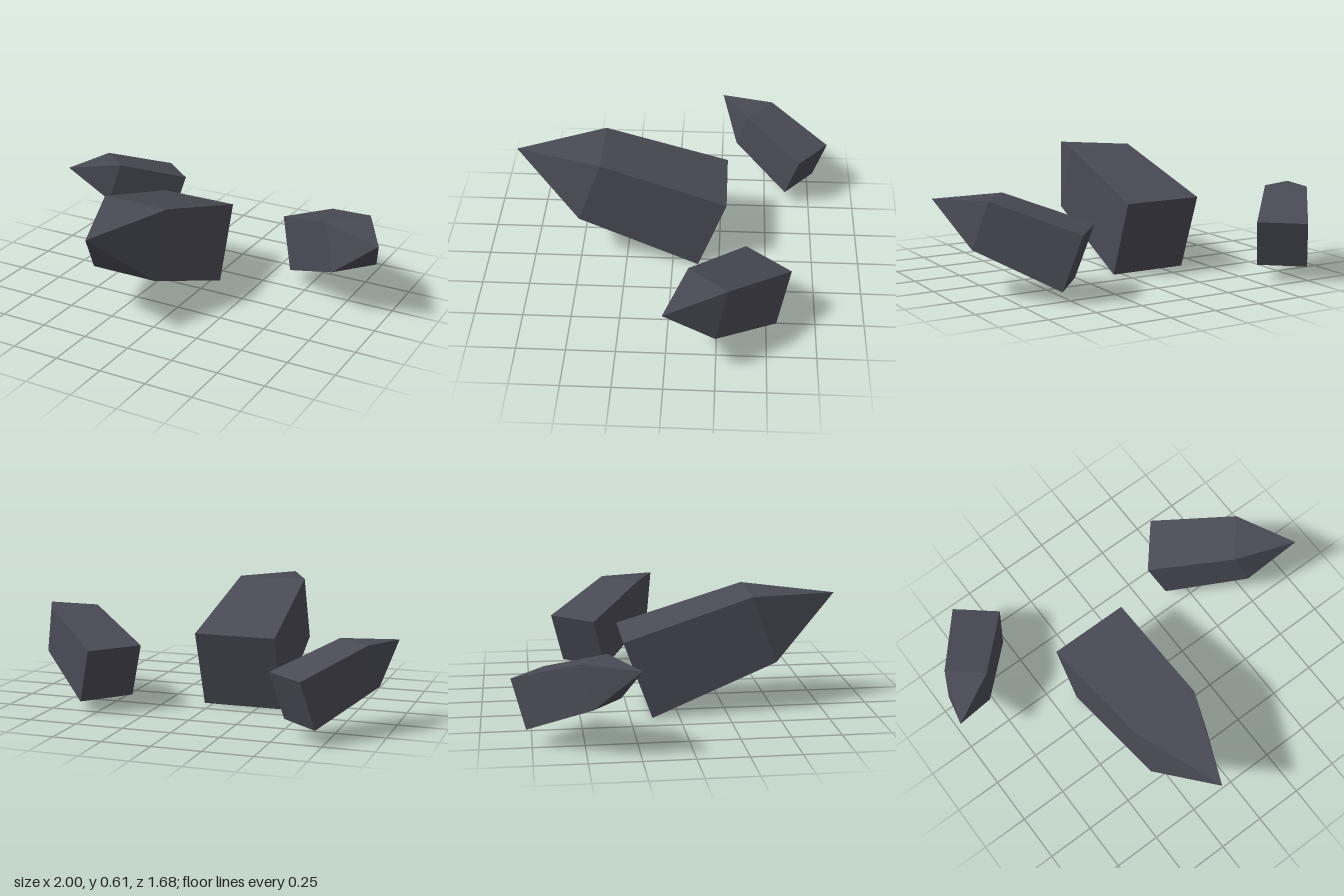
import * as THREE from 'three';

// Square crystal: slightly tapering shaft with a pyramid tip, pointing along +z
function crystalGeometry() {
  const profile = [[0, 0], [0.299, 0], [0.258, 0.69], [0, 1.112]]
    .map(([r, h]) => new THREE.Vector2(r, h));
  const geometry = new THREE.LatheGeometry(profile, 4, Math.PI / 4);
  geometry.rotateX(Math.PI / 2);
  return geometry;
}

export function createModel() {
  const group = new THREE.Group();
  group.name = 'crystalShards';

  const stone = new THREE.MeshStandardMaterial({ color: 0x4a4a55, flatShading: true });
  stone.name = 'dark slate';
  const geometry = crystalGeometry();
  const rad = THREE.MathUtils.degToRad;

  // name, centre of the base, heading in degrees, scale
  const shards = [
    ['centreShard', [-0.166, 0.201, -0.21], 0, 1],
    ['leftShard', [0.435, 0.2025, -0.468], 50, 0.7],
    ['rightShard', [-0.597, 0.2025, -0.7275], -40, 0.6],
  ];
  for (const [name, base, heading, scale] of shards) {
    const shard = new THREE.Mesh(geometry, stone);
    shard.name = name;
    shard.position.set(...base);
    // every shard rises 20 degrees towards its tip
    shard.rotation.set(rad(-20), rad(heading), 0, 'YXZ');
    shard.scale.setScalar(scale);
    group.add(shard);
  }
  return group;
}
